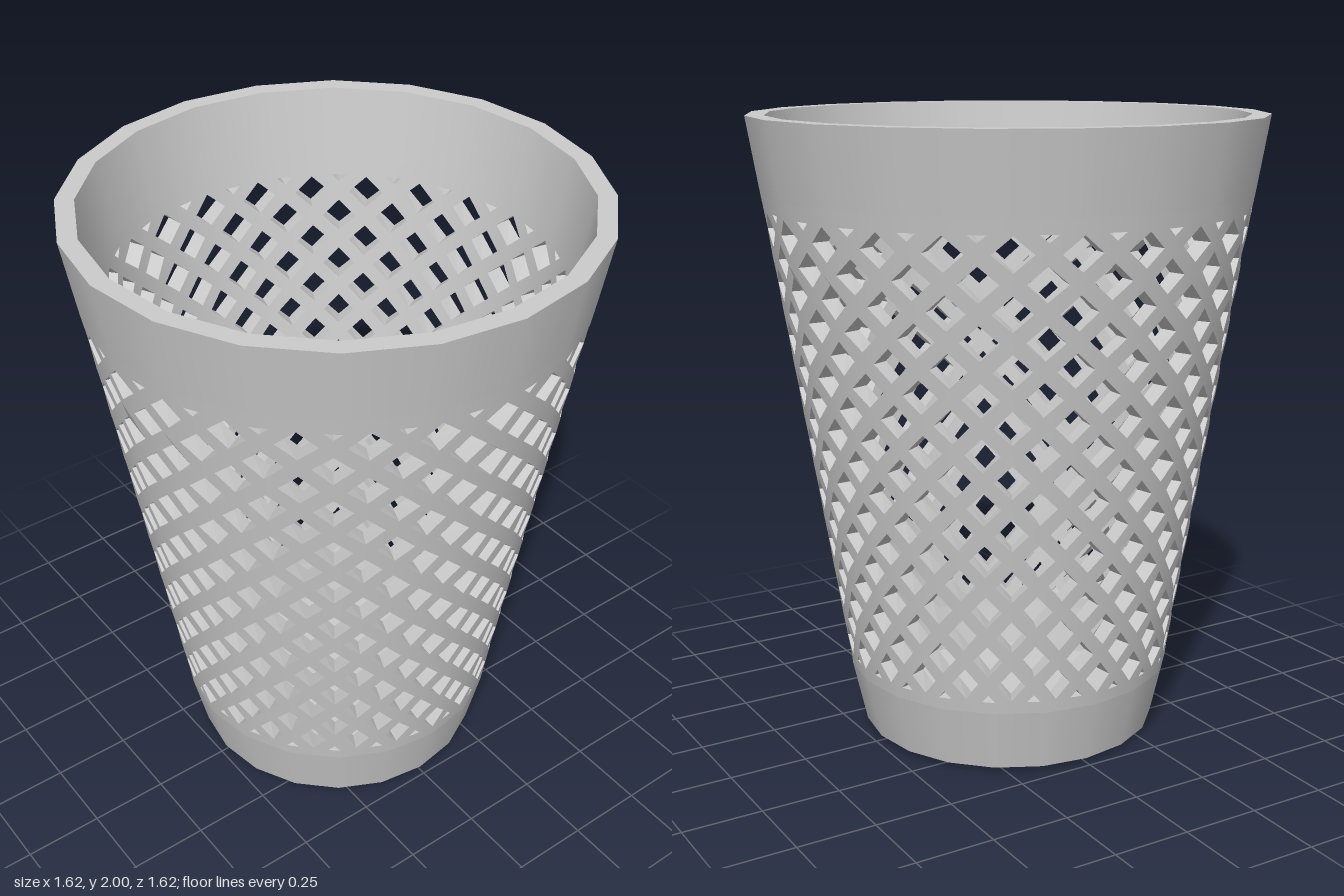
import * as THREE from 'three';

const SIDES = 20, COLUMNS = 24, WALL = 0.058;
const FACET = (2 * Math.PI) / SIDES;
const HALF = Math.PI / COLUMNS;                 // half a lattice column, in radians
const Y0 = 0.22, Y1 = 1.76;                     // ends of the lattice panels
const CUT0 = 0.26, CUT1 = 1.715;                // holes are trimmed to this band
const ROW = 0.168, TOP_ROW = 1.66;              // spacing and start of the hole rows
const HOLE_W = HALF * 0.62, HOLE_H = 0.052;     // half width and half height of a hole

const PROFILE = [[0.48, 0.02], [0.525, Y0], [0.77, Y1], [0.81, 2]];

function outerRadius(y) {
  let i = 0;
  while (i < PROFILE.length - 2 && y > PROFILE[i + 1][1]) i++;
  const [r0, a] = PROFILE[i], [r1, b] = PROFILE[i + 1];
  return r0 + ((r1 - r0) * (y - a)) / (b - a);
}

// Scale that puts a point at this angle on the flat side of the polygon
function polygonScale(angle) {
  const t = angle - FACET * Math.floor(angle / FACET + 1e-9);
  return Math.cos(FACET / 2) / Math.cos(t - FACET / 2);
}

// Half of a diamond, trimmed to the lattice band, as [distance from its axis, y] going up
function halfDiamond(c) {
  const lo = Math.max(c - HOLE_H, CUT0), hi = Math.min(c + HOLE_H, CUT1);
  const width = (y) => HOLE_W * (1 - Math.abs(y - c) / HOLE_H);
  const pts = [[0, lo]];
  if (width(lo) > 1e-6) pts.push([width(lo), lo]);
  if (c > lo && c < hi) pts.push([HOLE_W, c]);
  if (width(hi) > 1e-6) pts.push([width(hi), hi]);
  pts.push([0, hi]);
  return pts;
}

// One column of the lattice: whole holes in the middle, half holes along both edges
function latticeColumn(k) {
  const centre = k * 2 * HALF;
  const corner = Math.round(centre / FACET) * FACET - centre;
  const hasCorner = Math.abs(corner) < HALF - 1e-4;

  const edge = [];
  for (let j = 8; j >= -1; j--) edge.push(...halfDiamond(TOP_ROW - ROW * (j + 0.5)));
  const outline = [[-HALF, Y0]];
  if (hasCorner) outline.push([corner, Y0]);
  outline.push([HALF, Y0], ...edge.map(([d, y]) => [HALF - d, y]), [HALF, Y1]);
  if (hasCorner) outline.push([corner, Y1]);
  outline.push([-HALF, Y1], ...edge.map(([d, y]) => [d - HALF, y]).reverse());

  const toPoints = (list) => list.map(([x, y]) => new THREE.Vector2(x, y));
  const shape = new THREE.Shape(toPoints(outline));
  for (let j = 0; j <= 8; j++) {
    const c = TOP_ROW - ROW * j;
    shape.holes.push(new THREE.Path(toPoints([
      [0, c - HOLE_H], [-HOLE_W, c], [0, c + HOLE_H], [HOLE_W, c]])));
  }
  const flat = new THREE.ExtrudeGeometry(shape, { depth: 1, bevelEnabled: false });

  // Bend the flat panel onto the wall, leaving out the joints between panels
  const p = flat.attributes.position, n = flat.attributes.normal;
  const positions = [], normals = [];
  const slope = (outerRadius(Y1) - outerRadius(Y0)) / (Y1 - Y0);
  for (let i = 0; i < p.count; i += 3) {
    const atEnd = Math.abs(p.getY(i) - Y0) < 1e-5 || Math.abs(p.getY(i) - Y1) < 1e-5;
    if (Math.abs(n.getX(i)) > 0.99 || (atEnd && Math.abs(n.getY(i)) > 0.99)) continue;
    const isFace = Math.abs(n.getZ(i)) > 0.5;
    const corners = [], angles = [];
    for (let v = i; v < i + 3; v++) {
      const a = centre + p.getX(v), y = p.getY(v);
      const r = (outerRadius(y) - WALL * (1 - p.getZ(v))) * polygonScale(a);
      corners.push(new THREE.Vector3(r * Math.sin(a), y, r * Math.cos(a)));
      angles.push(a);
    }
    const flatNormal = new THREE.Triangle(...corners).getNormal(new THREE.Vector3());
    corners.forEach((c, q) => {
      const normal = isFace
        ? new THREE.Vector3(Math.sin(angles[q]), -slope, Math.cos(angles[q]))
          .normalize().multiplyScalar(Math.sign(n.getZ(i)))
        : flatNormal;
      positions.push(c.x, c.y, c.z);
      normals.push(normal.x, normal.y, normal.z);
    });
  }
  const geometry = new THREE.BufferGeometry();
  geometry.setAttribute('position', new THREE.Float32BufferAttribute(positions, 3));
  geometry.setAttribute('normal', new THREE.Float32BufferAttribute(normals, 3));
  return geometry;
}

export function createModel() {
  const model = new THREE.Group();
  model.name = 'wasteBasket';
  const material = new THREE.MeshStandardMaterial({ color: 0xcccccc });

  const add = (parent, name, geometry) => {
    const mesh = new THREE.Mesh(geometry, material);
    mesh.name = name;
    parent.add(mesh);
  };
  // A ring of wall between two profile points; separate rings keep the edges sharp
  const ring = (name, a, b) => add(model, name, new THREE.LatheGeometry(
    [new THREE.Vector2(...a), new THREE.Vector2(...b)], SIDES));
  const outer = (y) => [outerRadius(y), y];
  const inner = (y) => [outerRadius(y) - WALL, y];

  // Solid base band and floor
  const floorY = 0.07;
  ring('underside', [0, 0.005], outer(0.02));
  ring('baseBandOuter', outer(0.02), outer(Y0));
  ring('baseBandInner', inner(Y0), inner(floorY));
  ring('floor', inner(floorY), [0, floorY]);

  // Solid top band and rim
  ring('topBandOuter', outer(Y1), outer(2));
  ring('rim', outer(2), inner(2));
  ring('topBandInner', inner(2), inner(Y1));

  // Diamond lattice wall
  const lattice = new THREE.Group();
  lattice.name = 'latticeWall';
  for (let k = 0; k < COLUMNS; k++) add(lattice, 'latticeColumn', latticeColumn(k));
  model.add(lattice);

  return model;
}
